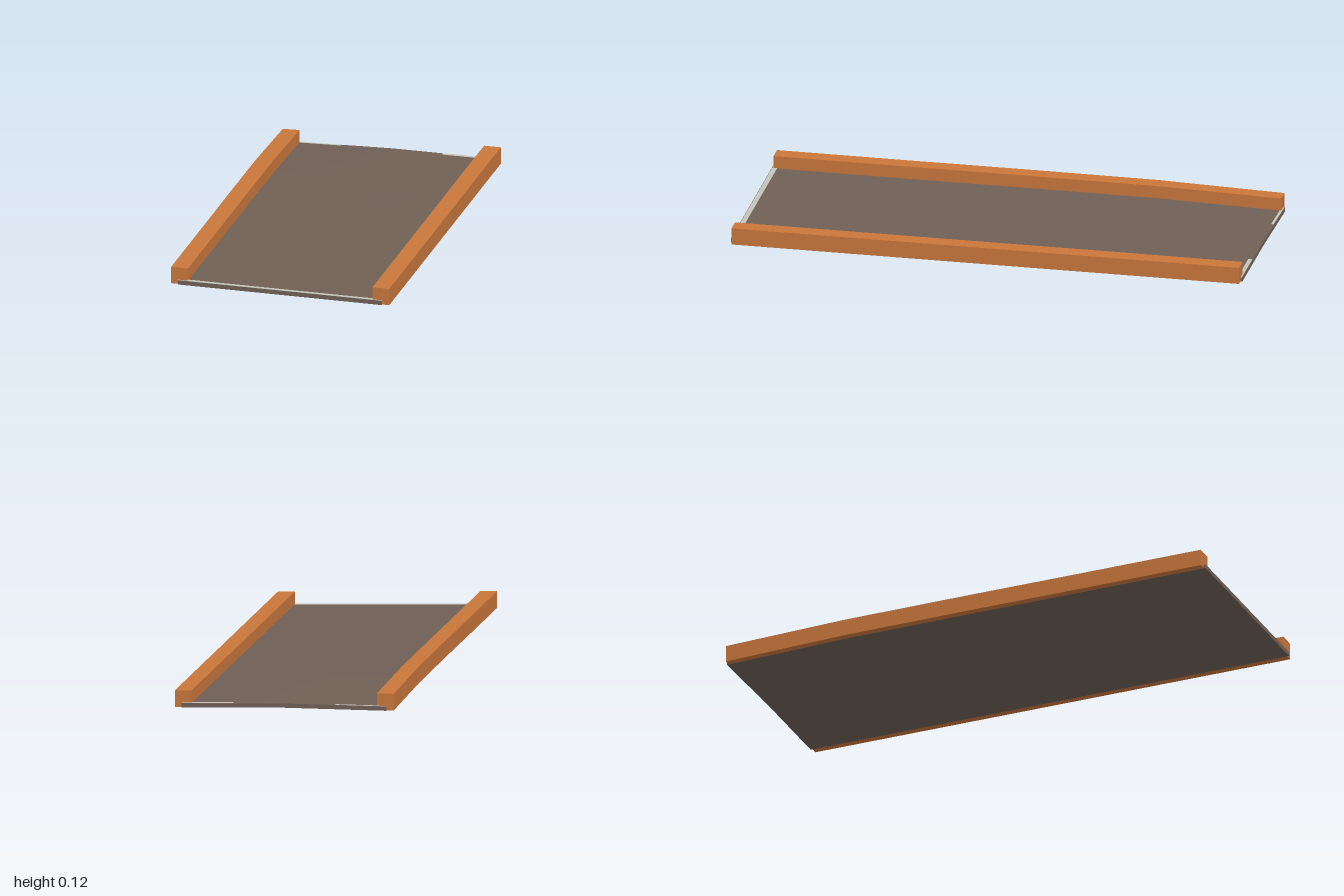
import * as THREE from 'three';

// Height of the underside at any plan position: the ramp twists and sags.
const leftHeights = [0.021, 0.040, 0.047, 0.052, 0.058]; // at z = -1, -0.5, 0, 0.5, 1
function baseHeight(x, z) {
  const u = THREE.MathUtils.clamp((z + 1) * 2, 0, 4);
  const i = Math.min(3, Math.floor(u));
  const left = THREE.MathUtils.lerp(leftHeights[i], leftHeights[i + 1], u - i);
  const right = 0.003 + 0.0225 * (z + 1) / 2;
  const rise = 0.006 * Math.max(0, 1 - Math.abs(x) / 0.43) * Math.max(0, -z);
  return THREE.MathUtils.lerp(left, right, (x + 0.43) / 0.86) + rise;
}

// A box between two corners, bent to follow the twisted base.
function warpedBox(name, material, [x0, x1], [y0, y1], [z0, z1], nx, nz) {
  const geo = new THREE.BoxGeometry(x1 - x0, y1 - y0, z1 - z0, nx, 1, nz);
  geo.translate((x0 + x1) / 2, (y0 + y1) / 2, (z0 + z1) / 2);
  const p = geo.attributes.position;
  for (let i = 0; i < p.count; i++) {
    p.setY(i, p.getY(i) + baseHeight(p.getX(i), p.getZ(i)));
  }
  geo.computeVertexNormals();
  const mesh = new THREE.Mesh(geo, material);
  mesh.name = name;
  return mesh;
}

export function createModel() {
  const group = new THREE.Group();
  group.name = 'bridgeDeck';
  const orange = new THREE.MeshStandardMaterial({ name: 'orange wood', color: 0xc8763a });
  const brown = new THREE.MeshStandardMaterial({ name: 'brown deck', color: 0x706056 });
  const grey = new THREE.MeshStandardMaterial({ name: 'light grey trim', color: 0xc2c4ba });

  // Thin walking deck
  group.add(warpedBox('deck', brown, [-0.4, 0.4], [-0.0006, 0.016], [-1, 1], 8, 16));

  // Square kerb rails along both sides
  group.add(warpedBox('leftRail', orange, [0.362, 0.428], [0, 0.065], [-0.993, 0.993], 1, 16));
  group.add(warpedBox('rightRail', orange, [-0.428, -0.362], [0, 0.065], [-0.993, 0.993], 1, 16));

  // Pale trim strips on the deck ends
  const trim = [0.015, 0.0168];
  group.add(warpedBox('frontTrim', grey, [-0.4, 0.4], trim, [0.979, 0.998], 8, 1));
  group.add(warpedBox('backTrimLeft', grey, [0.2, 0.4], trim, [-0.998, -0.982], 2, 1));
  group.add(warpedBox('backTrimRight', grey, [-0.4, -0.2], trim, [-0.998, -0.988], 2, 1));
  return group;
}
